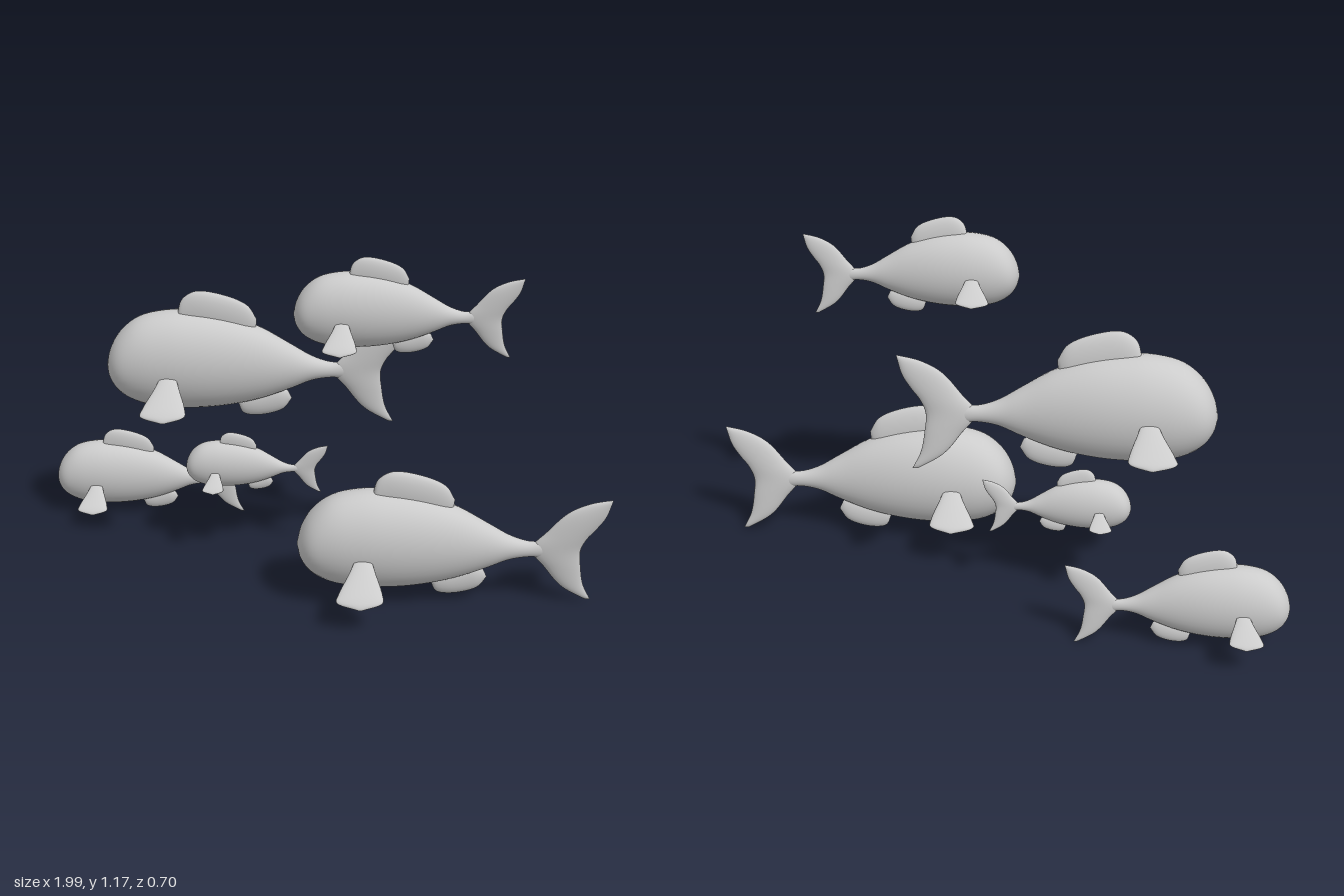
import * as THREE from 'three';

const material = new THREE.MeshStandardMaterial({ color: 0xcccccc });
const curve = (pts) => new THREE.CatmullRomCurve3(pts.map(([x, y, z = 0]) => new THREE.Vector3(x, y, z)));

// Smooth closed skin of elliptical sections spanning two edge curves.
// halfWidth(t) is the half thickness along the given normal.
function loft(edgeA, edgeB, halfWidth, normal, rows, cols) {
  const a = curve(edgeA), b = curve(edgeB);
  const positions = [], index = [];
  for (let i = 0; i <= rows; i++) {
    const t = i / rows;
    const pa = a.getPoint(t), pb = b.getPoint(t);
    const mid = pa.clone().add(pb).multiplyScalar(0.5);
    const half = pa.clone().sub(mid);
    const w = halfWidth(t);
    for (let j = 0; j < cols; j++) {
      const ang = (j / cols) * Math.PI * 2;
      const p = mid.clone().addScaledVector(half, Math.cos(ang)).addScaledVector(normal, w * Math.sin(ang));
      positions.push(p.x, p.y, p.z);
    }
  }
  const quad = (p, q, r, s) => index.push(p, q, r, q, s, r);
  for (let i = 0; i < rows; i++) {
    for (let j = 0; j < cols; j++) {
      const k = (j + 1) % cols;
      quad(i * cols + j, i * cols + k, (i + 1) * cols + j, (i + 1) * cols + k);
    }
  }
  // End caps
  const last = rows * cols;
  for (let j = 1; j < cols - 1; j++) index.push(0, j + 1, j, last, last + j, last + j + 1);

  // Turn the faces outward when the signed volume is negative
  const v = (n) => new THREE.Vector3().fromArray(positions, n * 3);
  let volume = 0;
  for (let i = 0; i < index.length; i += 3) volume += v(index[i]).dot(v(index[i + 1]).cross(v(index[i + 2])));
  if (volume < 0) index.reverse();

  const geo = new THREE.BufferGeometry();
  geo.setAttribute('position', new THREE.Float32BufferAttribute(positions, 3));
  geo.setIndex(index);
  geo.computeVertexNormals();
  return geo;
}

const lens = (thickness) => (t) => thickness * Math.sqrt(Math.max(0, Math.sin(Math.PI * t))) + 0.0005;

function fishParts() {
  const side = new THREE.Vector3(0, 0, 1);
  const parts = {};

  // Body stations: distance from nose, top, bottom, half width
  const stations = [
    [0, 0.018, 0.008, 0.006], [0.012, 0.07, -0.035, 0.05], [0.045, 0.13, -0.08, 0.088],
    [0.11, 0.185, -0.117, 0.109], [0.21, 0.21, -0.133, 0.117], [0.31, 0.208, -0.134, 0.113],
    [0.41, 0.19, -0.123, 0.1], [0.51, 0.153, -0.1, 0.079], [0.61, 0.094, -0.063, 0.052],
    [0.68, 0.052, -0.033, 0.033], [0.74, 0.032, -0.023, 0.021], [0.8, 0.03, -0.024, 0.014],
    [0.86, 0.008, -0.006, 0.003],
  ];
  const width = curve(stations.map(([x, , , w]) => [x, w]));
  parts.body = loft(
    stations.map(([x, top]) => [x, top]),
    stations.map(([x, , bottom]) => [x, bottom]),
    (t) => Math.max(0.001, width.getPoint(t).y), side, 56, 36);

  // Forked tail, from the lower tip to the upper tip
  parts.tailFin = loft(
    [[0.936, -0.187], [0.853, -0.135], [0.796, -0.064], [0.75, 0.004], [0.796, 0.068], [0.86, 0.14], [0.925, 0.174], [0.995, 0.19]],
    [[0.952, -0.187], [0.925, -0.13], [0.912, -0.06], [0.908, 0], [0.926, 0.045], [0.952, 0.08], [0.98, 0.125], [0.998, 0.188]],
    lens(0.019), side, 48, 20);

  // Dorsal fin
  parts.dorsalFin = loft(
    [[0.238, 0.17], [0.25, 0.14], [0.31, 0.14], [0.38, 0.13], [0.45, 0.12], [0.495, 0.14]],
    [[0.24, 0.2], [0.256, 0.253], [0.3, 0.283], [0.39, 0.272], [0.47, 0.235], [0.5, 0.185]],
    lens(0.024), side, 32, 20);

  // Anal fin
  parts.analFin = loft(
    [[0.43, -0.1], [0.45, -0.085], [0.5, -0.075], [0.56, -0.065], [0.6, -0.075]],
    [[0.432, -0.122], [0.45, -0.161], [0.5, -0.169], [0.583, -0.145], [0.613, -0.105]],
    lens(0.02), side, 28, 20);

  // Pair of drooping pectoral fins, narrow at the root and fanned at the tip
  for (const [name, s] of [['leftPectoralFin', 1], ['rightPectoralFin', -1]]) {
    parts[name] = loft(
      [[0.198, 0.035, 0.08 * s], [0.17, -0.005, 0.14 * s], [0.137, -0.044, 0.2 * s], [0.13, -0.06, 0.225 * s], [0.2, -0.075, 0.246 * s]],
      [[0.23, 0.035, 0.08 * s], [0.252, -0.005, 0.14 * s], [0.274, -0.044, 0.2 * s], [0.275, -0.06, 0.225 * s], [0.21, -0.075, 0.246 * s]],
      lens(0.012), new THREE.Vector3(0, 0.84, 0.54 * s), 28, 20);
  }
  return parts;
}

export function createModel() {
  const school = new THREE.Group();
  school.name = 'schoolOfFish';
  const parts = fishParts();

  // Nose position and size of each fish
  const placements = [
    ['lowerLargeFish', 0.055, 0.199, 0.18, 1],
    ['upperLargeFish', -0.68, 0.659, 0.045, 1],
    ['topMediumFish', 0.037, 0.975, 0.162, 0.7],
    ['lowerMediumFish', -0.99, 0.136, -0.113, 0.7],
    ['smallFish', -0.428, 0.314, -0.012, 0.48],
  ];
  for (const [name, x, y, z, size] of placements) {
    const fish = new THREE.Group();
    fish.name = name;
    for (const [part, geo] of Object.entries(parts)) {
      const mesh = new THREE.Mesh(geo, material);
      mesh.name = part;
      fish.add(mesh);
    }
    fish.position.set(x, y, z);
    fish.rotation.set(0.1, 0.349, 0, 'YXZ');
    fish.scale.setScalar(size);
    school.add(fish);
  }
  return school;
}
